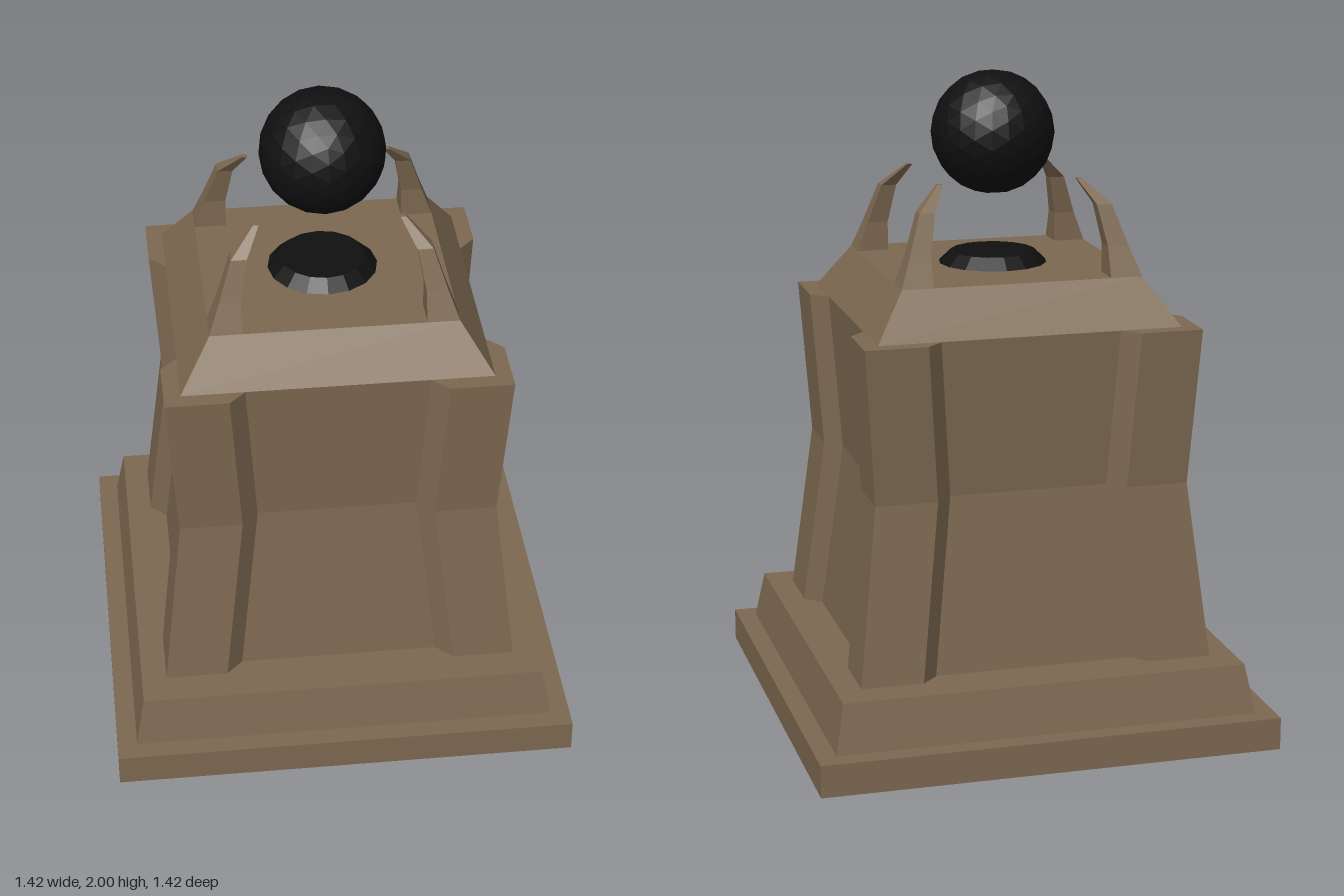
import * as THREE from 'three';

const stone = new THREE.MeshStandardMaterial({ color: 0x7d6951, flatShading: true, side: THREE.DoubleSide });
const black = new THREE.MeshStandardMaterial({ color: 0x101010, flatShading: true });
const corners = [[1, 1], [-1, 1], [-1, -1], [1, -1]];

// Rectangular ring of half sizes a, b about a centre
const rect = (a, b, cx = 0, cz = 0) => corners.map(([sx, sz]) => [cx + sx * a, cz + sz * b]);

// Skins a stack of sections { y, ring } and closes the chosen ends
function loft(sections, capBottom = true) {
  const n = sections[0].ring.length;
  const pos = sections.flatMap(({ y, ring }) => ring.flatMap(([x, z]) => [x, y, z]));
  const index = [];
  for (let s = 0; s < sections.length - 1; s++) {
    for (let i = 0; i < n; i++) {
      const a = s * n + i, b = s * n + (i + 1) % n;
      index.push(b, a, a + n, b, a + n, b + n);
    }
  }
  const cap = (s, up) => {
    const pts = sections[s].ring.map(([x, z]) => new THREE.Vector2(x, z));
    for (const [a, b, c] of THREE.ShapeUtils.triangulateShape(pts, [])) {
      index.push(...(up ? [c, b, a] : [a, b, c]).map(k => k + s * n));
    }
  };
  cap(sections.length - 1, true);
  if (capBottom) cap(0, false);
  const indexed = new THREE.BufferGeometry();
  indexed.setAttribute('position', new THREE.Float32BufferAttribute(pos, 3));
  indexed.setIndex(index);
  const geo = indexed.toNonIndexed();
  geo.computeVertexNormals();
  return geo;
}

// Pedestal outline: four corner posts with recessed panels between them
function bodyRing(a, b) {
  const quarter = [[a - 0.05, b - 0.24], [a, b - 0.19], [a, b], [a - 0.19, b], [a - 0.24, b - 0.05]];
  return corners.flatMap(([sx, sz], q) => {
    const pts = quarter.map(([x, z]) => [x * sx, z * sz]);
    return q % 2 ? pts.reverse() : pts;
  });
}

export function createModel() {
  const model = new THREE.Group();
  const add = (name, geo, mat, y = 0) => {
    const mesh = new THREE.Mesh(geo, mat);
    mesh.name = name;
    mesh.position.y = y;
    model.add(mesh);
  };

  // Stepped base, hollow underneath
  const steps = [[0, 0.71], [0.1, 0.71], [0.1, 0.65], [0.25, 0.622]];
  add('steppedBase', loft(steps.map(([y, r]) => ({ y, ring: rect(r, r) })), false), stone);

  // Waisted pedestal
  const waist = [[0.25, 0.545, 0.522], [0.79, 0.483, 0.46], [1.27, 0.515, 0.49]];
  add('pedestalBody', loft(waist.map(([y, a, b]) => ({ y, ring: bodyRing(a, b) }))), stone);

  // Sloped top
  add('slopedTop', loft([
    { y: 1.27, ring: rect(0.465, 0.44) },
    { y: 1.41, ring: rect(0.37, 0.345) },
  ]), stone);

  // Four claws: height, outer x, inner x (z sits 0.025 closer in)
  const claw = [[1.41, 0.37, 0.273], [1.5, 0.337, 0.273], [1.62, 0.297, 0.25], [1.69, 0.225, 0.208]];
  corners.forEach(([sx, sz], i) => {
    add('claw' + (i + 1), loft(claw.map(([y, outer, inner]) => {
      const mid = (outer + inner) / 2, half = (outer - inner) / 2;
      return { y, ring: rect(half, half, sx * mid, sz * (mid - 0.025)) };
    })), stone);
  });

  // Low bevelled disc under the floating orb
  add('disc', new THREE.CylinderGeometry(0.13, 0.167, 0.035, 16), black, 1.4275);
  add('orb', new THREE.IcosahedronGeometry(0.189, 3), black, 1.811);

  return model;
}
